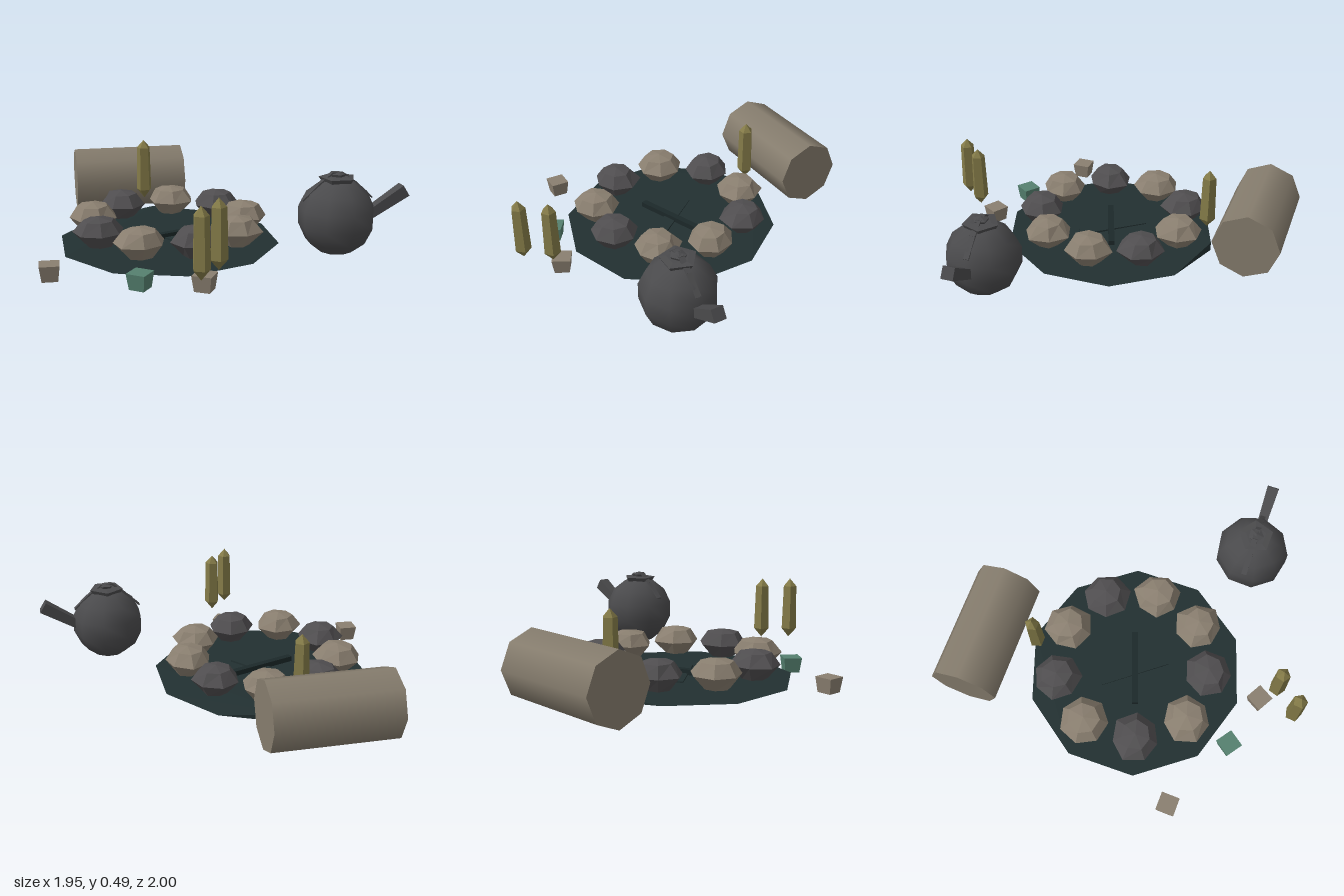
import * as THREE from 'three';

const paint = (name, color) => {
  const m = new THREE.MeshStandardMaterial({ color });
  m.name = name;
  return m;
};

// Closed solid from stacked polygon rings [y, radius]; wobble shifts each corner a little.
function ringSolid(rings, sides, wobble = () => 1) {
  const pos = [], index = [];
  rings.forEach(([y, r], k) => {
    for (let i = 0; i < sides; i++) {
      const a = (i / sides) * Math.PI * 2, w = r * wobble();
      pos.push(Math.sin(a) * w, y, Math.cos(a) * w);
      if (k === 0) continue;
      const j = (i + 1) % sides, lo = (k - 1) * sides, hi = k * sides;
      index.push(lo + i, lo + j, hi + j, lo + i, hi + j, hi + i);
    }
  });
  const g = new THREE.BufferGeometry();
  g.setAttribute('position', new THREE.Float32BufferAttribute(pos, 3));
  g.setIndex(index);
  const flat = g.toNonIndexed();
  flat.computeVertexNormals();
  return flat;
}

export function createModel() {
  const model = new THREE.Group();
  model.name = 'campfireSet';

  const beige = paint('beigeStone', 0x8a7f70);
  const grey = paint('darkStone', 0x504e50);
  const wood = paint('log', 0x857c6d);
  const ash = paint('ash', 0x223031);
  const char = paint('charredWood', 0x1c2829);
  const iron = paint('kettleIron', 0x4a4a4c);
  const amber = paint('crystal', 0x847b48);
  const teal = paint('tealStone', 0x55806f);
  ash.side = iron.side = THREE.DoubleSide;

  let seed = 7;
  const rand = () => (seed = (seed * 16807) % 2147483647) / 2147483647;
  const add = (parent, name, geo, mat, x, y, z, ry = 0) => {
    const m = new THREE.Mesh(geo, mat);
    m.name = name;
    m.position.set(x, y, z);
    m.rotation.y = ry;
    parent.add(m);
    return m;
  };

  // Log lying behind the fire
  const log = add(model, 'log', new THREE.CylinderGeometry(0.19, 0.19, 0.67, 8), wood, -0.373, 0.2, -0.815);
  log.rotation.z = Math.PI / 2;

  // Ash bed: ten-sided sheet, slightly thick at its back corner only
  const rim = [];
  for (let i = 0; i < 10; i++) {
    const a = (i / 10) * Math.PI * 2;
    rim.push([-0.25 + Math.sin(a) * 0.615, 0.035, 0.032 - Math.cos(a) * 0.612]);
  }
  const tri = [];
  const top = [rim[0][0], 0.06, rim[0][2]], low = [rim[0][0], 0.01, rim[0][2]];
  for (let i = 1; i < 9; i++) {
    tri.push(...top, ...rim[i + 1], ...rim[i]);
    tri.push(...low, ...rim[i], ...rim[i + 1]);
  }
  tri.push(...top, ...rim[1], ...low, ...top, ...low, ...rim[9]);
  const bed = new THREE.BufferGeometry();
  bed.setAttribute('position', new THREE.Float32BufferAttribute(tri, 3));
  bed.computeVertexNormals();
  add(model, 'ashBed', bed, ash, 0, 0, 0);

  // Two charred sticks crossed in the middle
  add(model, 'charredStick', new THREE.BoxGeometry(0.42, 0.03, 0.035), char, -0.25, 0.062, 0.03, 0.34);
  add(model, 'charredStick', new THREE.BoxGeometry(0.4, 0.012, 0.075), ash, -0.255, 0.05, 0.022, -0.92);

  // Ring of nine faceted stones
  const stones = [
    [-0.17, -0.4, beige], [0.08, -0.26, grey], [0.18, 0.02, beige],
    [0.08, 0.3, beige], [-0.17, 0.44, grey], [-0.46, 0.405, beige],
    [-0.65, 0.175, grey], [-0.655, -0.125, beige], [-0.47, -0.355, grey],
  ];
  for (const [x, z, mat] of stones) {
    const geo = ringSolid([[-0.082, 0], [-0.075, 0.07], [0, 0.134], [0.065, 0.085], [0.082, 0]], 7, () => 0.92 + rand() * 0.16);
    add(model, 'fireStone', geo, mat, x, 0.15, z, rand() * 6);
  }

  // Upright crystals
  const crystal = ringSolid([[-0.18, 0], [-0.125, 0.046], [0.135, 0.04], [0.18, 0]], 5);
  add(model, 'crystal', crystal, amber, -0.31, 0.31, -0.535, 0.6);
  add(model, 'crystal', crystal, amber, -0.245, 0.305, 0.95, 0.2);
  add(model, 'crystal', crystal, amber, -0.135, 0.305, 0.825, 0);

  // Small stones, narrower at the foot
  const pebble = ringSolid([[0, 0], [0, 0.058], [0.085, 0.073], [0.085, 0]], 4);
  add(model, 'pebble', pebble, beige, -0.925, 0, 0.455, 0.75);
  add(model, 'pebble', pebble, teal, -0.495, 0, 0.67, 0.15);
  add(model, 'pebble', pebble, beige, -0.19, 0, 0.755, 0.25);

  // Kettle
  const kettle = new THREE.Group();
  kettle.name = 'kettle';
  kettle.position.set(0.58, 0, 0.455);
  model.add(kettle);
  add(kettle, 'body', new THREE.SphereGeometry(0.208, 9, 7), iron, 0, 0.245, 0, 0.3);
  add(kettle, 'lid', ringSolid([[0, 0], [0, 0.065], [0.055, 0.1], [0.06, 0.06], [0.06, 0]], 5), iron, 0, 0.402, 0, 0.6);
  add(kettle, 'knob', ringSolid([[0, 0.035], [0.02, 0.045], [0.035, 0]], 5), iron, 0, 0.455, 0);

  // Thin bail handle swept as a flat strip
  const path = [[-0.19, 0.34], [-0.1, 0.425], [-0.03, 0.483], [0.03, 0.477], [0.1, 0.425], [0.19, 0.34]];
  for (let i = 1; i < path.length; i++) {
    const [x0, y0] = path[i - 1], [x1, y1] = path[i];
    const strip = add(kettle, 'handle', new THREE.BoxGeometry(Math.hypot(x1 - x0, y1 - y0), 0.008, 0.03),
      iron, (x0 + x1) / 2, (y0 + y1) / 2, 0);
    strip.rotation.z = Math.atan2(y1 - y0, x1 - x0);
  }

  // Square spout widening outward
  const spout = add(kettle, 'spout', ringSolid([[-0.13, 0], [-0.13, 0.036], [0.11, 0.047], [0.11, 0]], 4), iron, 0.28, 0.313, 0.003);
  spout.geometry.rotateY(Math.PI / 4);
  spout.rotation.z = -1.01;

  return model;
}
